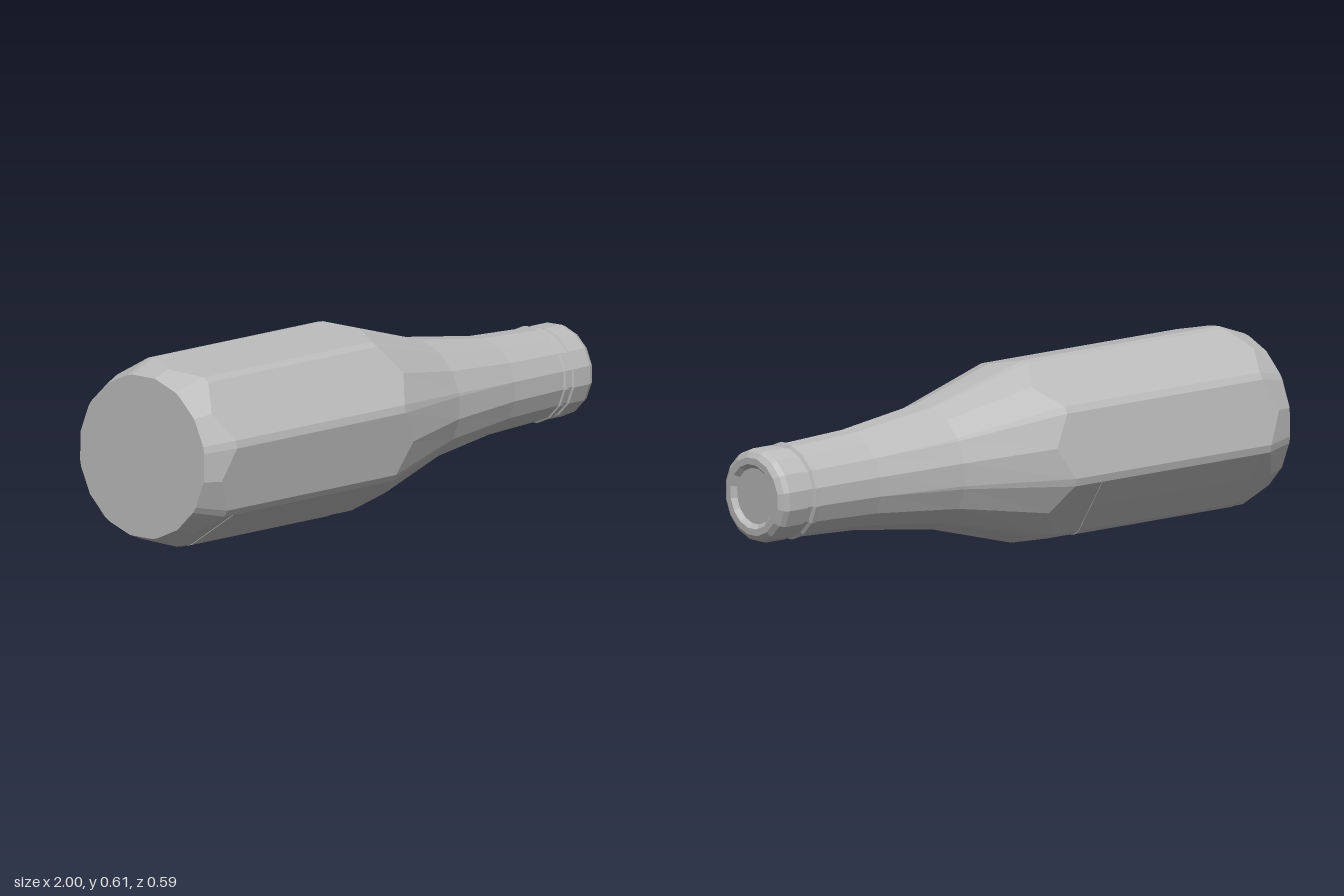
import * as THREE from 'three';

const rad = THREE.MathUtils.degToRad;
const TWIST = 13;   // angle of the first body corner from the top
const BEVEL = 2.4;  // half angle of the blunted body corners

// Point of one ring column: each 45 degree sector has two corner columns and one mid-flat column.
function ringPoint({ x, r, xm = x, rm = r, bevel = 0 }, col) {
  const kind = col % 3;
  const offset = [-bevel, bevel, 22.5][kind];
  const a = rad(TWIST + Math.floor(col / 3) * 45 + offset);
  const radius = kind === 2 ? rm : r;
  return new THREE.Vector3(kind === 2 ? xm : x, radius * Math.cos(a), -radius * Math.sin(a));
}

// Skin a run of rings along x with flat facets, skipping collapsed triangles.
function sweep(rings, from = 0, to = 24) {
  const pos = [];
  const tri = new THREE.Triangle();
  const add = (a, b, c) => {
    if (tri.set(a, b, c).getArea() > 1e-8) pos.push(...a, ...b, ...c);
  };
  for (let i = 0; i < rings.length - 1; i++) {
    for (let c = from; c < to; c++) {
      const a = ringPoint(rings[i], c), b = ringPoint(rings[i + 1], c);
      const d = ringPoint(rings[i], c + 1), e = ringPoint(rings[i + 1], c + 1);
      add(a, b, d);
      add(b, e, d);
    }
  }
  const geo = new THREE.BufferGeometry();
  geo.setAttribute('position', new THREE.Float32BufferAttribute(pos, 3));
  geo.computeVertexNormals();
  return geo;
}

const round = (...pairs) => pairs.map(([x, r]) => ({ x, r }));

export function createModel() {
  const grey = new THREE.MeshStandardMaterial({ color: 0xbababa });
  grey.name = 'grey';
  const bottle = new THREE.Group();
  bottle.name = 'bottle';
  const part = (name, geo) => {
    const mesh = new THREE.Mesh(geo, grey);
    mesh.name = name;
    bottle.add(mesh);
  };

  const R = 0.298;
  const flat = R * Math.cos(rad(22.5 - BEVEL));

  // Eight-sided body: round base, flats ending in chevrons, shoulder
  part('body', sweep([
    { x: -0.991, r: 0 },
    { x: -0.991, r: 0.258, bevel: BEVEL },
    { x: -0.88, r: R, xm: -0.93, rm: flat, bevel: BEVEL },
    { x: -0.08, r: R, xm: -0.02, rm: flat, bevel: BEVEL },
    { x: 0.29, r: 0.197, bevel: 1.5 },
    { x: 0.6, r: 0.157 },
  ]));

  // Sixteen-sided neck
  part('neck', sweep(round([0.6, 0.157], [0.842, 0.147])));

  // Thin collar and groove under the cap
  part('collar', sweep(round(
    [0.842, 0.147], [0.845, 0.152], [0.86, 0.152], [0.866, 0.142], [0.888, 0.142])));

  // Rounded cap with a shallow recess in its end
  part('cap', sweep(round(
    [0.888, 0.142], [0.891, 0.148], [0.965, 0.148], [0.983, 0.141],
    [0.995, 0.124], [0.995, 0.103], [0.98, 0.089], [0.98, 0])));

  // Thin label wrapped over three lower flats
  const band = (x, lift) => ({ x, r: R + lift, rm: flat + lift, bevel: BEVEL });
  part('label', sweep(
    [band(-0.84, 0), band(-0.84, 0.002), band(-0.19, 0.002), band(-0.19, 0)], 7, 15));

  // Lying on its side, neck dipping slightly
  bottle.rotation.set(0, 0.009, -0.0345);
  bottle.position.set(0, 0.292, -0.006);

  const model = new THREE.Group();
  model.name = 'lyingBottle';
  model.add(bottle);
  return model;
}
